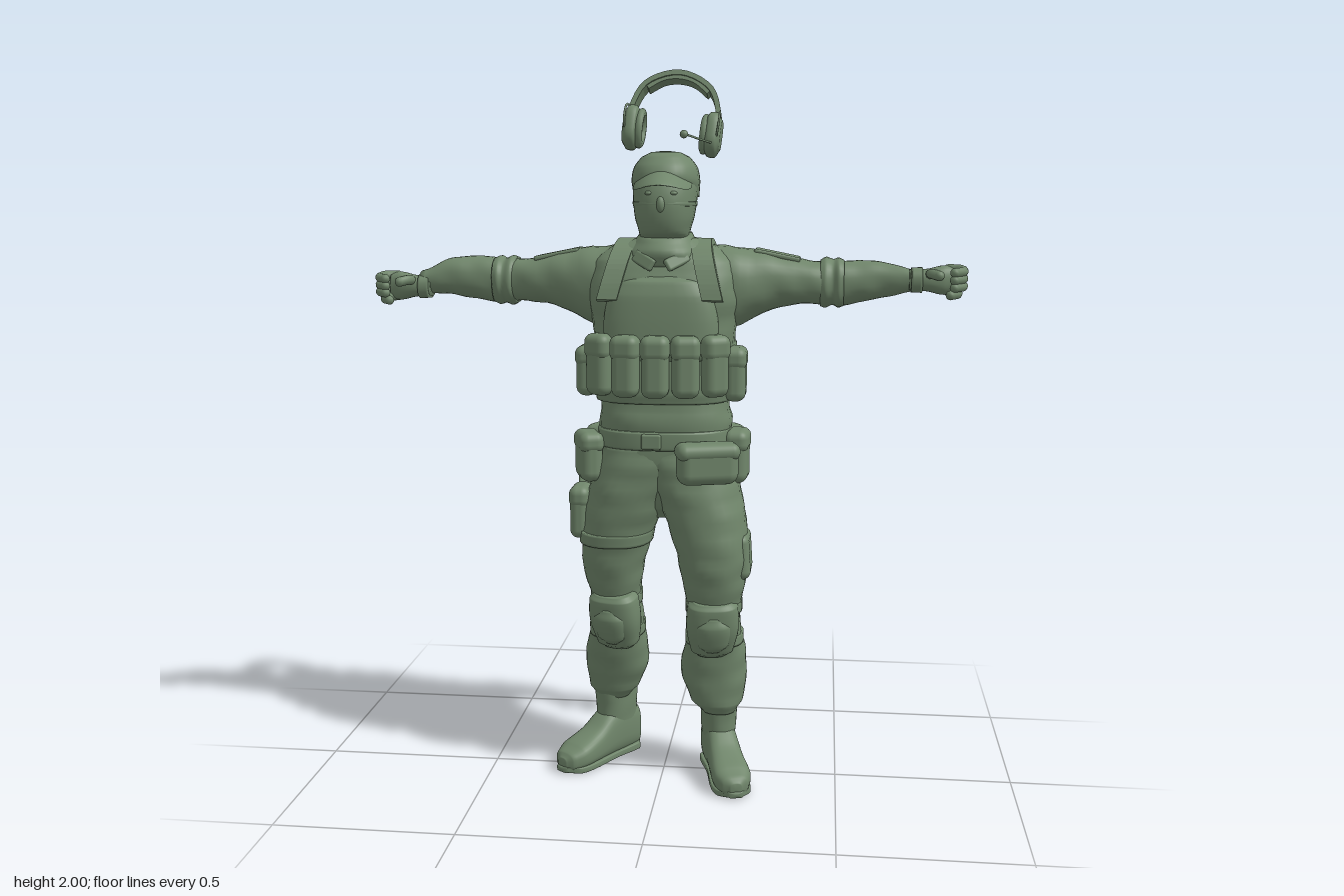
import * as THREE from 'three';
import { RoundedBoxGeometry } from 'three/addons/geometries/RoundedBoxGeometry.js';

const olive = new THREE.MeshStandardMaterial({ color: 0x70866b });
olive.name = 'olive green';

function add(parent, name, geo, x = 0, y = 0, z = 0) {
  const m = new THREE.Mesh(geo, olive);
  m.name = name;
  m.position.set(x, y, z);
  parent.add(m);
  return m;
}

// Smooth skin over rings along an axis. Each ring: [position, u0, u1, v0, v1].
// (u, v) is (x, z) for axis y, (y, z) for axis x and (x, y) for axis z.
function loft(axis, rings, { p = 2.3, fold = 0, sides = 32, steps = 5 } = {}) {
  const r = [...rings].sort((a, b) => a[0] - b[0]), pos = [], idx = [];
  const put = (t, u, v) => pos.push(...(axis === 'y' ? [u, t, v] : axis === 'x' ? [t, u, v] : [u, v, t]));
  const curve = (a, b, c, d, t) =>
    b + 0.5 * t * (c - a + t * (2 * a - 5 * b + 4 * c - d + t * (3 * (b - c) + d - a)));
  const n = (r.length - 1) * steps;
  const at = i => {
    const k = Math.min(Math.floor(i / steps), r.length - 2), t = i / steps - k;
    const a = r[Math.max(k - 1, 0)], d = r[Math.min(k + 2, r.length - 1)];
    return r[k].map((_, j) => j ? curve(a[j], r[k][j], r[k + 1][j], d[j], t)
      : r[k][0] + (r[k + 1][0] - r[k][0]) * t);
  };
  const bend = s => Math.sign(s) * Math.abs(s) ** (2 / p);
  for (let i = 0; i <= n; i++) {
    const [t, u0, u1, v0, v1] = at(i);
    for (let j = 0; j < sides; j++) {
      const a = j / sides * Math.PI * 2 * (axis === 'y' ? -1 : 1);
      const f = 1 + fold * Math.sin(t * 75 + 2.5 * Math.sin(a + 1)) * Math.sin(2 * a + t * 12);
      put(t, (u0 + u1) / 2 + (u1 - u0) / 2 * bend(Math.cos(a)) * f,
        (v0 + v1) / 2 + (v1 - v0) / 2 * bend(Math.sin(a)) * f);
      const k = (j + 1) % sides, b = i * sides;
      if (i < n) idx.push(b + j, b + k, b + sides + k, b + j, b + sides + k, b + sides + j);
    }
  }
  // end caps
  const c0 = pos.length / 3;
  for (const i of [0, n]) {
    const [t, u0, u1, v0, v1] = at(i);
    put(t, (u0 + u1) / 2, (v0 + v1) / 2);
  }
  for (let j = 0; j < sides; j++) {
    const k = (j + 1) % sides, b = n * sides;
    idx.push(c0, k, j, c0 + 1, b + j, b + k);
  }
  const g = new THREE.BufferGeometry();
  g.setAttribute('position', new THREE.Float32BufferAttribute(pos, 3));
  g.setIndex(idx);
  g.computeVertexNormals();
  return g;
}

// Flat strap following a 2D path, extruded to a width
function band(points, thick, width) {
  const c = new THREE.SplineCurve(points.map(q => new THREE.Vector2(...q)));
  const a = [], b = [];
  for (let i = 0; i <= 28; i++) {
    const q = c.getPoint(i / 28), t = c.getTangent(i / 28);
    a.push(new THREE.Vector2(q.x - t.y * thick / 2, q.y + t.x * thick / 2));
    b.unshift(new THREE.Vector2(q.x + t.y * thick / 2, q.y - t.x * thick / 2));
  }
  return new THREE.ExtrudeGeometry(new THREE.Shape([...a, ...b]), { depth: width, bevelEnabled: false })
    .translate(0, 0, -width / 2);
}

// Tube with round tips
function rod(parent, name, pts, r) {
  const v = pts.map(q => new THREE.Vector3(...q));
  add(parent, name, new THREE.TubeGeometry(new THREE.CatmullRomCurve3(v), 14, r, 10));
  for (const e of [v[0], v[v.length - 1]]) add(parent, name + 'Tip', new THREE.SphereGeometry(r, 10, 8), e.x, e.y, e.z);
}

// Soft bag with a lid, turned to face outward
function pouch(parent, name, x, y, z, w, h, d, yaw = 0) {
  const g = new THREE.Group();
  g.name = name;
  g.position.set(x, y, z);
  g.rotation.y = yaw;
  add(g, 'bag', new RoundedBoxGeometry(w, h, d, 4, Math.min(w, d) * 0.42));
  add(g, 'lid', new RoundedBoxGeometry(w + 0.006, h * 0.42, d + 0.006, 4, 0.024), 0, h * 0.29, 0);
  parent.add(g);
}

function makeHand(parent, name, side, x, y, z) {
  const g = new THREE.Group();
  g.name = name;
  g.position.set(x, y, z);
  g.scale.x = side;
  add(g, 'palm', loft('x', [[-0.05, -0.028, 0.028, -0.035, 0.03], [0, -0.031, 0.031, -0.037, 0.033],
    [0.04, -0.04, 0.04, -0.037, 0.028], [0.07, -0.037, 0.037, -0.033, 0.018]]));
  add(g, 'gloveCuff', loft('x', [[-0.045, -0.034, 0.034, -0.042, 0.036], [-0.015, -0.035, 0.035, -0.042, 0.037]]));
  for (let i = 0; i < 4; i++) {
    const fy = 0.03 - i * 0.02, s = i === 3 ? 0.85 : 1;
    rod(g, 'finger', [[0.055, fy, -0.012], [0.086 * s, fy, 0.005], [0.091 * s, fy - 0.004, 0.045], [0.067 * s, fy - 0.006, 0.07]], 0.013);
  }
  rod(g, 'thumb', [[0.005, 0.015, 0.01], [0.008, 0.02, 0.045], [0.026, 0.016, 0.07]], 0.014);
  parent.add(g);
}

function makeBoot(parent, name, x, z, yaw) {
  const g = new THREE.Group();
  g.name = name;
  g.position.set(x, 0, z);
  g.rotation.y = yaw;
  add(g, 'shaft', loft('y', [[0.05, -0.042, 0.042, -0.07, 0.06], [0.13, -0.048, 0.048, -0.069, 0.06], [0.24, -0.054, 0.054, -0.072, 0.066]], { fold: 0.02 }));
  add(g, 'foot', loft('z', [[-0.078, -0.02, 0.02, 0.015, 0.1], [-0.07, -0.038, 0.038, 0.006, 0.14],
    [-0.02, -0.046, 0.046, 0.006, 0.165], [0.04, -0.046, 0.046, 0.006, 0.148], [0.1, -0.05, 0.05, 0.006, 0.105],
    [0.17, -0.054, 0.054, 0.006, 0.078], [0.208, -0.038, 0.038, 0.006, 0.06], [0.222, -0.015, 0.015, 0.015, 0.045]], { p: 2.8 }));
  add(g, 'sole', loft('z', [[-0.081, -0.022, 0.022, 0, 0.024], [-0.06, -0.043, 0.043, 0, 0.024], [0.03, -0.043, 0.043, 0, 0.02],
    [0.14, -0.055, 0.055, 0, 0.02], [0.19, -0.049, 0.049, 0, 0.02], [0.225, -0.018, 0.018, 0.005, 0.022]], { p: 7 }));
  parent.add(g);
}

export function createModel() {
  const root = new THREE.Group();
  root.name = 'soldier';

  // Head, mask and cap
  add(root, 'head', loft('y', [[1.48, -0.07, 0.075, -0.09, 0.05], [1.54, -0.068, 0.072, -0.085, 0.06],
    [1.56, -0.067, 0.072, -0.088, 0.098], [1.6, -0.078, 0.083, -0.105, 0.113], [1.65, -0.084, 0.09, -0.125, 0.115],
    [1.7, -0.085, 0.091, -0.135, 0.1], [1.75, -0.07, 0.075, -0.11, 0.07]]));
  const nose = add(root, 'nose', new THREE.SphereGeometry(0.015, 14, 10), 0.003, 1.637, 0.11);
  nose.scale.set(0.8, 1.5, 0.9);
  add(root, 'maskEdge', loft('y', [[1.632, -0.084, 0.09, -0.12, 0.114], [1.638, -0.085, 0.091, -0.123, 0.116], [1.644, -0.085, 0.091, -0.125, 0.115]]));
  add(root, 'cap', loft('y', [[1.655, -0.086, 0.092, -0.136, 0.04], [1.68, -0.089, 0.095, -0.145, 0.085], [1.705, -0.09, 0.096, -0.146, 0.103],
    [1.737, -0.083, 0.089, -0.134, 0.094], [1.764, -0.062, 0.068, -0.105, 0.07], [1.776, -0.037, 0.043, -0.078, 0.045], [1.78, -0.008, 0.014, -0.04, 0]]));
  const brim = new THREE.SphereGeometry(1, 28, 16).scale(0.08, 0.007, 0.095);
  for (let i = 0, q = brim.attributes.position; i < q.count; i++) q.setY(i, q.getY(i) - 7 * q.getX(i) ** 2);
  brim.computeVertexNormals();
  add(root, 'capBrim', brim, 0.003, 1.726, 0.079).rotation.x = 0.42;
  for (const s of [-1, 1]) add(root, 'eye', new THREE.SphereGeometry(0.011, 12, 8), 0.003 + s * 0.033, 1.667, 0.1).scale.y = 0.6;

  // Shirt, neck scarf and collar
  add(root, 'shirt', loft('y', [[1, -0.178, 0.185, -0.15, 0.13], [1.04, -0.182, 0.192, -0.162, 0.136], [1.08, -0.176, 0.182, -0.16, 0.13], [1.2, -0.19, 0.19, -0.17, 0.12],
    [1.3, -0.2, 0.2, -0.17, 0.11], [1.4, -0.215, 0.215, -0.175, 0.112], [1.48, -0.2, 0.2, -0.17, 0.088],
    [1.52, -0.15, 0.15, -0.145, 0.06], [1.545, -0.08, 0.085, -0.11, 0.05]], { p: 2.7, fold: 0.012 }));
  add(root, 'scarf', loft('y', [[1.47, -0.11, 0.11, -0.14, 0.095], [1.51, -0.097, 0.1, -0.125, 0.098], [1.54, -0.082, 0.085, -0.105, 0.08],
    [1.56, -0.07, 0.075, -0.092, 0.06]], { fold: 0.04 }));
  for (const s of [-1, 1]) {
    const c = add(root, 'collarFlap', new RoundedBoxGeometry(0.075, 0.035, 0.016, 2, 0.007), s * 0.045, 1.487, 0.09);
    c.rotation.set(-0.4, s * 0.5, s * 0.6);
  }

  // Armour vest with shoulder straps
  add(root, 'vest', loft('y', [[1.1, -0.19, 0.19, -0.18, 0.135], [1.13, -0.195, 0.195, -0.185, 0.14], [1.25, -0.19, 0.19, -0.185, 0.135],
    [1.31, -0.175, 0.175, -0.18, 0.132]], { p: 2.8 }));
  add(root, 'chestPlate', loft('y', [[1.22, -0.155, 0.155, 0.02, 0.138], [1.32, -0.158, 0.158, 0.01, 0.136],
    [1.39, -0.145, 0.145, 0.01, 0.13], [1.43, -0.115, 0.115, 0.02, 0.117], [1.445, -0.09, 0.09, 0.03, 0.1]], { p: 2.8 }));
  add(root, 'backPlate', loft('y', [[1.115, -0.12, 0.12, -0.2, -0.1], [1.14, -0.145, 0.145, -0.213, -0.09], [1.3, -0.168, 0.168, -0.216, -0.08],
    [1.41, -0.16, 0.16, -0.214, -0.08], [1.47, -0.125, 0.125, -0.206, -0.08], [1.5, -0.085, 0.085, -0.19, -0.09]], { p: 2.8 }));
  add(root, 'waistWrap', loft('y', [[1.13, -0.195, 0.195, -0.2, 0.1], [1.14, -0.2, 0.2, -0.206, 0.1], [1.25, -0.2, 0.2, -0.208, 0.1], [1.26, -0.195, 0.195, -0.202, 0.1]], { p: 2.6 }));
  for (const s of [-1, 1]) {
    const g = band([[0.113, 1.38], [0.1, 1.43], [0.072, 1.485], [0.02, 1.52], [-0.06, 1.53], [-0.13, 1.507], [-0.185, 1.42]], 0.026, 0.056);
    g.rotateY(-Math.PI / 2);
    const q = g.attributes.position;
    for (let i = 0; i < q.count; i++) q.setX(i, q.getX(i) + s * (0.105 + (1.53 - q.getY(i)) * 0.26));
    g.computeVertexNormals();
    add(root, 'shoulderStrap', g);
  }

  // Chest pouches
  [[-0.165, 0.105, -0.6], [-0.09, 0.14, -0.2], [-0.008, 0.148, 0], [0.074, 0.142, 0.2], [0.15, 0.108, 0.6]]
    .forEach(([x, z, yaw]) => pouch(root, 'magazinePouch', x, 1.205, z, 0.075, 0.17, 0.06, yaw));
  pouch(root, 'sidePouch', 0.202, 1.175, 0.025, 0.1, 0.15, 0.06, Math.PI / 2);
  pouch(root, 'sidePouch', -0.21, 1.18, 0.025, 0.1, 0.14, 0.06, -Math.PI / 2);

  // Belt and its pouches: x, z, width, height, depth, yaw
  add(root, 'belt', loft('y', [[0.972, -0.182, 0.187, -0.158, 0.138], [0.978, -0.186, 0.191, -0.161, 0.142],
    [1.018, -0.186, 0.191, -0.161, 0.142], [1.024, -0.182, 0.187, -0.158, 0.138]], { p: 2.6 }));
  add(root, 'buckle', new RoundedBoxGeometry(0.055, 0.042, 0.02, 2, 0.006), -0.02, 0.998, 0.139);
  [[0.135, 0.148, 0.17, 0.115, 0.075, 0.3], [0.208, 0.015, 0.1, 0.15, 0.065, 1.5], [0.19, -0.078, 0.07, 0.145, 0.06, 2.0],
    [0.14, -0.135, 0.07, 0.145, 0.06, 2.5], [0, -0.167, 0.195, 0.155, 0.08, Math.PI], [-0.14, -0.135, 0.07, 0.145, 0.06, -2.5],
    [-0.19, -0.055, 0.08, 0.145, 0.06, -1.9], [-0.205, 0.06, 0.11, 0.14, 0.065, -1.2]]
    .forEach(([x, z, w, h, d, yaw]) => pouch(root, 'beltPouch', x, 0.943, z, w, h, d, yaw));

  // Trousers
  add(root, 'trouserSeat', loft('y', [[0.765, -0.035, 0.035, -0.07, 0.05], [0.8, -0.1, 0.1, -0.12, 0.09], [0.88, -0.18, 0.185, -0.145, 0.12],
    [0.95, -0.185, 0.19, -0.155, 0.134], [1.03, -0.175, 0.18, -0.15, 0.13]], { p: 2.6, fold: 0.008 }));
  add(root, 'leftTrouserLeg', loft('y', [[0.19, 0.112, 0.212, -0.07, 0.06], [0.22, 0.08, 0.23, -0.09, 0.075], [0.3, 0.05, 0.24, -0.098, 0.08],
    [0.38, 0.06, 0.235, -0.085, 0.088], [0.45, 0.075, 0.222, -0.06, 0.105], [0.52, 0.07, 0.225, -0.056, 0.13], [0.6, 0.055, 0.238, -0.075, 0.15],
    [0.68, 0.037, 0.243, -0.088, 0.16], [0.8, -0.005, 0.23, -0.12, 0.156], [0.9, -0.06, 0.205, -0.145, 0.146], [0.98, -0.11, 0.182, -0.14, 0.132]], { fold: 0.022 }));
  add(root, 'rightTrouserLeg', loft('y', [[0.19, -0.21, -0.11, -0.155, -0.04], [0.22, -0.23, -0.085, -0.162, -0.02], [0.3, -0.24, -0.055, -0.167, 0.005],
    [0.38, -0.23, -0.06, -0.15, 0.03], [0.45, -0.205, -0.065, -0.13, 0.06], [0.52, -0.21, -0.07, -0.118, 0.08], [0.6, -0.23, -0.06, -0.12, 0.105],
    [0.7, -0.235, -0.035, -0.13, 0.125], [0.8, -0.22, 0.005, -0.14, 0.138], [0.9, -0.2, 0.06, -0.15, 0.14], [0.98, -0.18, 0.11, -0.14, 0.132]], { fold: 0.022 }));
  const pocket = add(root, 'thighPocket', new RoundedBoxGeometry(0.05, 0.13, 0.14, 4, 0.024), 0.225, 0.665, 0.03);
  pocket.rotation.z = 0.06;

  // Thigh holster on the right, with its leg strap
  pouch(root, 'holster', -0.235, 0.775, 0.02, 0.1, 0.15, 0.055, -Math.PI / 2);
  add(root, 'pistolGrip', new RoundedBoxGeometry(0.03, 0.085, 0.045, 2, 0.01), -0.235, 0.84, -0.035).rotation.x = -0.5;
  add(root, 'legStrap', loft('y', [[0.69, -0.241, -0.032, -0.135, 0.129], [0.725, -0.24, -0.026, -0.137, 0.132]]));

  // Knee pads with straps
  for (const [x, z, yaw] of [[0.148, 0.095, 0.15], [-0.137, 0.05, -0.3]]) {
    const g = new THREE.Group();
    g.name = 'kneePad';
    g.position.set(x, 0.46, z);
    g.rotation.set(0.18, yaw, 0, 'YXZ');
    add(g, 'padBase', loft('y', [[-0.085, -0.045, 0.045, -0.06, 0.015], [-0.07, -0.06, 0.06, -0.06, 0.03], [0, -0.074, 0.074, -0.06, 0.045],
      [0.07, -0.07, 0.07, -0.06, 0.042], [0.085, -0.055, 0.055, -0.05, 0.03]], { p: 2.6 }));
    add(g, 'padShell', loft('y', [[-0.06, -0.03, 0.03, -0.02, 0.035], [-0.04, -0.045, 0.045, -0.02, 0.05], [0.02, -0.052, 0.052, -0.02, 0.057],
      [0.05, -0.03, 0.03, -0.02, 0.045]]));
    root.add(g);
  }
  [[0.415, 0.064, 0.231, -0.076, 0.098], [0.515, 0.066, 0.228, -0.06, 0.13], [0.415, -0.222, -0.06, -0.144, 0.048], [0.515, -0.214, -0.065, -0.122, 0.084]]
    .forEach(([y, ...e]) => add(root, 'kneeStrap', loft('y', [[y - 0.014, ...e], [y + 0.014, ...e]])));
  makeBoot(root, 'leftBoot', 0.16, -0.01, 0.3);
  makeBoot(root, 'rightBoot', -0.157, -0.097, -0.64);

  // Arms with rolled sleeves and shoulder patches
  add(root, 'leftArm', loft('x', [[0.08, 1.28, 1.525, -0.16, 0.05], [0.19, 1.295, 1.52, -0.172, 0.045], [0.3, 1.345, 1.503, -0.163, 0.012],
    [0.4, 1.362, 1.482, -0.148, -0.005], [0.48, 1.355, 1.48, -0.155, -0.02], [0.55, 1.368, 1.482, -0.145, -0.03],
    [0.62, 1.383, 1.475, -0.13, -0.033], [0.69, 1.4, 1.457, -0.088, -0.02]], { fold: 0.025 }));
  add(root, 'rightArm', loft('x', [[-0.08, 1.28, 1.525, -0.16, 0.05], [-0.19, 1.295, 1.52, -0.172, 0.045], [-0.3, 1.345, 1.505, -0.163, 0.012],
    [-0.4, 1.362, 1.482, -0.145, -0.01], [-0.48, 1.355, 1.483, -0.16, -0.035], [-0.55, 1.365, 1.488, -0.157, -0.038],
    [-0.63, 1.378, 1.48, -0.148, -0.038], [-0.71, 1.382, 1.445, -0.125, -0.045]], { fold: 0.025 }));
  for (const s of [-1, 1]) {
    const z = s < 0 ? -0.012 : 0;
    add(root, 'sleeveRoll', loft('x', [0.43, 0.445, 0.465, 0.48, 0.495].map((x, i) => {
      const e = i % 2 ? 0.008 : 0.002;
      return [s * x, 1.358 - e, 1.482 + e, -0.152 + z - e, -0.015 + z + e];
    }), { fold: 0.035 }));
    const patch = add(root, 'shoulderPatch', new RoundedBoxGeometry(0.13, 0.014, 0.1, 3, 0.006), s * 0.31, 1.496, -0.08);
    patch.rotation.z = -s * 0.2;
  }
  makeHand(root, 'leftHand', 1, 0.722, 1.432, -0.035);
  makeHand(root, 'rightHand', -1, -0.728, 1.402, -0.07);

  // Headset floating above the cap
  const set = new THREE.Group();
  set.name = 'headset';
  set.position.set(0.026, 1.872, -0.04);
  set.rotation.set(-0.34, 0, -0.1);
  add(set, 'headband', band([[-0.115, -0.04], [-0.12, 0.01], [-0.087, 0.085], [0, 0.12], [0.087, 0.085], [0.12, 0.01], [0.115, -0.04]], 0.014, 0.05));
  add(set, 'bandPadding', band([[-0.085, 0.072], [-0.045, 0.1], [0, 0.109], [0.045, 0.1], [0.085, 0.072]], 0.014, 0.04));
  for (const s of [-1, 1]) {
    add(set, 'earCup', loft('x', [[-0.022, -0.045, 0.045, -0.034, 0.034], [-0.012, -0.058, 0.058, -0.047, 0.047], [0.01, -0.058, 0.058, -0.047, 0.047],
      [0.022, -0.04, 0.04, -0.03, 0.03]], { p: 2.8 }), s * 0.112, -0.045, 0.008);
    add(set, 'earCushion', new THREE.TorusGeometry(0.034, 0.011, 10, 24).scale(1, 1.25, 1).rotateY(Math.PI / 2), s * 0.089, -0.045, 0.008);
    rod(set, 'cupWire', [[s * 0.118, 0.01, -0.02], [s * 0.128, 0, 0.058], [s * 0.128, -0.05, 0.06], [s * 0.122, -0.07, 0.03]], 0.003);
  }
  root.add(set);
  rod(root, 'microphoneBoom', [[0.135, 1.8, 0.0], [0.125, 1.802, 0.06], [0.1, 1.81, 0.105], [0.07, 1.82, 0.128]], 0.003);
  add(root, 'microphone', new THREE.SphereGeometry(0.011, 12, 8), 0.067, 1.82, 0.13);

  return root;
}
